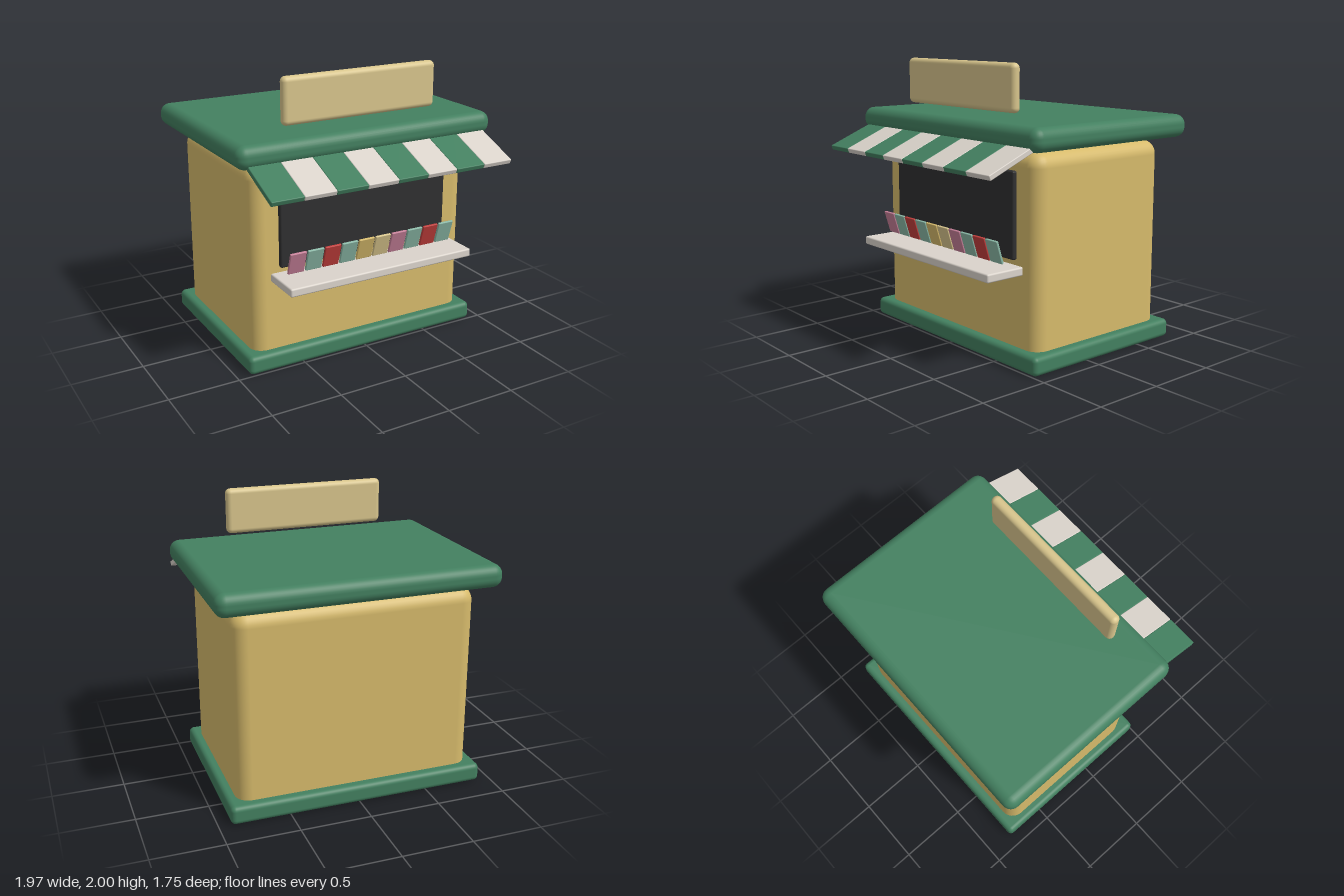
import * as THREE from 'three';
import { RoundedBoxGeometry } from 'three/addons/geometries/RoundedBoxGeometry.js';

const paint = (name, color) => {
  const m = new THREE.MeshStandardMaterial({ color });
  m.name = name;
  return m;
};

export function createModel() {
  const green = paint('green', 0x438060);
  const gold = paint('gold', 0xd6ba6b);
  const cream = paint('cream', 0xd8c58c);
  const white = paint('white', 0xdad3cb);
  const dark = paint('dark', 0x2f2f30);
  const pink = paint('pink', 0xc67f98);
  const teal = paint('teal', 0x8ab8a6);
  const red = paint('red', 0xc23e3c);

  const kiosk = new THREE.Group();
  kiosk.name = 'kiosk';

  // Rounded block given by its limits on each axis
  const block = (name, mat, [x0, x1], [y0, y1], [z0, z1], radius, parent = kiosk) => {
    const geo = new RoundedBoxGeometry(x1 - x0, y1 - y0, z1 - z0, 4, radius);
    const mesh = new THREE.Mesh(geo, mat);
    mesh.position.set((x0 + x1) / 2, (y0 + y1) / 2, (z0 + z1) / 2);
    mesh.name = name;
    parent.add(mesh);
    return mesh;
  };

  // Main structure
  block('base', green, [-0.915, 0.915], [0.001, 0.132], [-0.81, 0.5], 0.035);
  block('body', gold, [-0.85, 0.85], [0, 1.443], [-0.743, 0.435], 0.1);
  block('roof', green, [-0.983, 0.983], [1.463, 1.624], [-0.875, 0.565], 0.07);
  block('sign', cream, [-0.59, 0.59], [1.675, 2], [0.335, 0.408], 0.035);

  // Serving window and counter
  block('window', dark, [-0.655, 0.655], [0.727, 1.315], [0.4, 0.466], 0.012);
  block('counter', white, [-0.717, 0.717], [0.631, 0.69], [0.41, 0.73], 0.012);

  // Striped awning, sloping down toward the front edge
  const awning = new THREE.Group();
  awning.name = 'awning';
  awning.position.set(0, 1.345, 0.873);
  awning.rotation.x = 0.39;
  kiosk.add(awning);
  const stripe = 1.83 / 8;
  for (let i = 0; i < 8; i++) {
    const x = -0.915 + i * stripe;
    block('awningStripe', i % 2 ? white : green, [x, x + stripe],
      [-0.018, 0.018], [-0.4, 0], 0.006, awning);
  }

  // Row of magazines leaning over the counter
  const covers = [pink, teal, red, teal, gold, cream, pink, teal, red, teal];
  covers.forEach((mat, i) => {
    const x = (i - 4.5) * 0.131;
    const magazine = block('magazine', mat, [x - 0.06, x + 0.06],
      [0.712, 0.876], [0.56, 0.578], 0.005);
    magazine.rotation.x = 0.3;
  });

  return kiosk;
}
